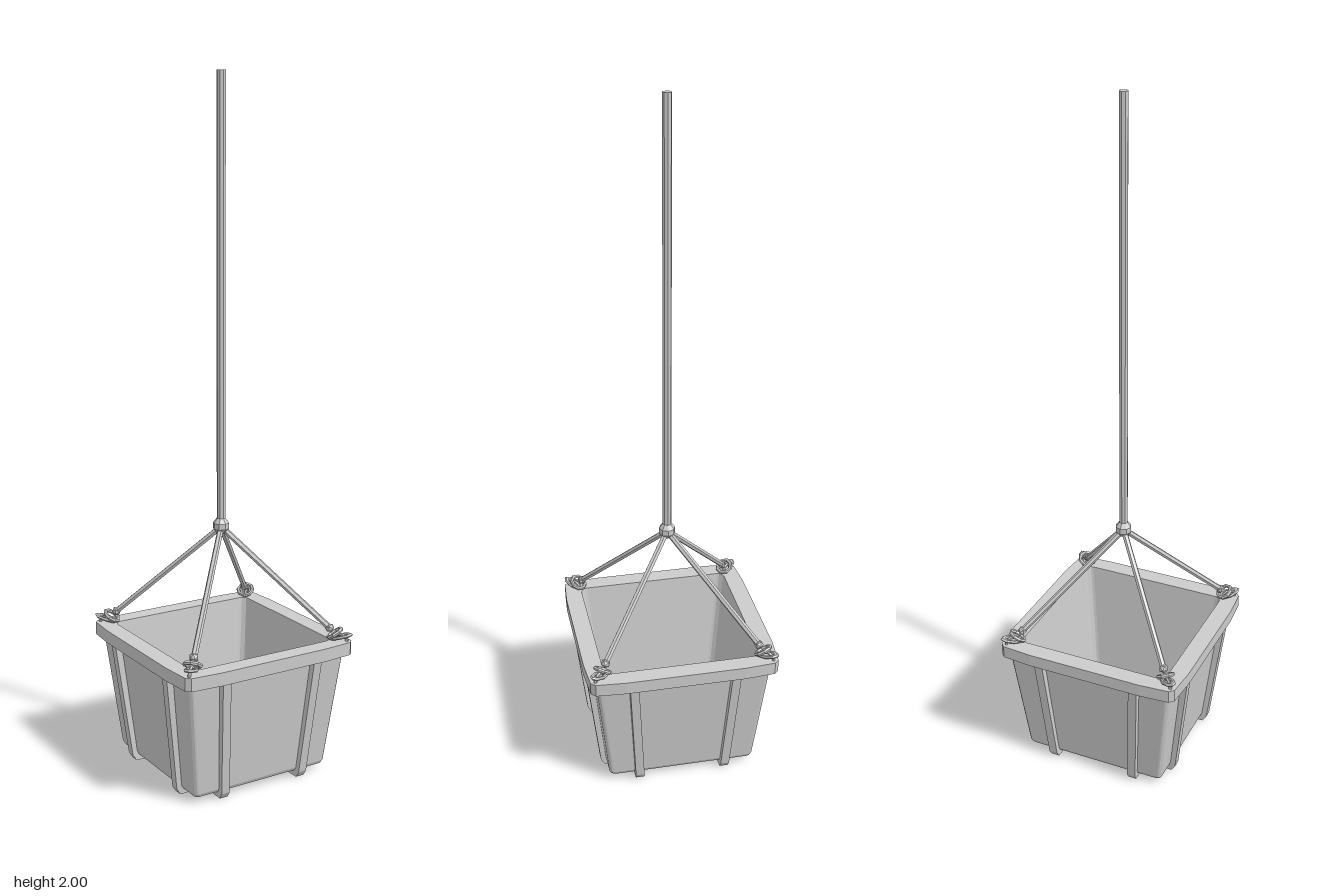
import * as THREE from 'three';

const material = new THREE.MeshStandardMaterial({ color: 0xcccccc, flatShading: true });

function part(parent, name, geometry) {
  const mesh = new THREE.Mesh(geometry, material);
  mesh.name = name;
  parent.add(mesh);
  return mesh;
}

// Square ring of 16 points: half width, side break, softened corner
function squareRing(half, y, side, corner, cut) {
  const quarter = [[half, side], [corner, corner - cut], [corner - cut, corner], [side, half]];
  const ring = [];
  for (let k = 0; k < 4; k++) {
    for (let [x, u] of quarter) {
      for (let i = 0; i < k; i++) [x, u] = [-u, x];
      ring.push(new THREE.Vector3(x, y, -u));
    }
  }
  return ring;
}

// Skin over successive rings
function loft(rings) {
  const pos = [];
  const tri = (...pts) => pts.forEach((p) => pos.push(p.x, p.y, p.z));
  for (let r = 0; r < rings.length - 1; r++) {
    const a = rings[r], b = rings[r + 1];
    for (let j = 0; j < a.length; j++) {
      const n = (j + 1) % a.length;
      tri(a[j], a[n], b[n]);
      tri(a[j], b[n], b[j]);
    }
  }
  const geometry = new THREE.BufferGeometry();
  geometry.setAttribute('position', new THREE.Float32BufferAttribute(pos, 3));
  geometry.computeVertexNormals();
  return geometry;
}

// U-shaped strap running under the box and up two opposite walls
function strapGeometry(sign) {
  const outer = [[0.279, 0.37], [0.236, 0.018], [0.224, 0]];
  const inner = [[0.2, 0.025], [0.245, 0.37]];
  const right = [...outer].reverse();
  const pts = [
    ...right, ...[...inner].reverse(),
    ...inner.map(([x, y]) => [-x, y]), ...outer.map(([x, y]) => [-x, y]),
  ];
  // order: bottom right, up outside, down inside, then the mirrored side
  const shape = new THREE.Shape(pts.map(([x, y]) => new THREE.Vector2(x, y)));
  const geometry = new THREE.ExtrudeGeometry(shape, { depth: 0.026, bevelEnabled: false });
  geometry.translate(0, 0, -0.013);
  const p = geometry.attributes.position;
  for (let i = 0; i < p.count; i++) {
    p.setZ(i, p.getZ(i) + sign * (0.13 + 0.06 * p.getY(i)));
  }
  geometry.computeVertexNormals();
  return geometry;
}

function rod(parent, name, from, to, radius, sides) {
  const mesh = part(parent, name, new THREE.CylinderGeometry(radius, radius, from.distanceTo(to), sides));
  mesh.position.copy(from).lerp(to, 0.5);
  mesh.quaternion.setFromUnitVectors(new THREE.Vector3(0, 1, 0), to.clone().sub(from).normalize());
  return mesh;
}

export function createModel() {
  const model = new THREE.Group();
  model.name = 'hangingBucket';

  // Tapered box with an overhanging rim and a hollow inside
  const plain = (half, y, cut) => squareRing(half, y, half - cut * 2, half - cut * 0.2, cut);
  const point = (y) => squareRing(0, y, 0, 0, 0);
  part(model, 'bucket', loft([
    point(0.018),
    plain(0.216, 0.018, 0.006),
    plain(0.221, 0.028, 0.006),
    plain(0.258, 0.362, 0.006),
    squareRing(0.285, 0.362, 0.175, 0.278, 0.013),
    squareRing(0.285, 0.4, 0.175, 0.278, 0.013),
    plain(0.232, 0.4, 0.01),
    plain(0.197, 0.05, 0.01),
    point(0.05),
  ]));

  // Two straps each way
  for (const turn of [0, Math.PI / 2]) {
    for (const sign of [-1, 1]) {
      part(model, 'strap', strapGeometry(sign)).rotation.y = turn;
    }
  }

  // Pole and the knob joining the four stays
  rod(model, 'pole', new THREE.Vector3(0, 0.71, 0), new THREE.Vector3(0, 2, 0), 0.013, 8);
  const knob = [[0, 0.698], [0.014, 0.7], [0.024, 0.713], [0.024, 0.73], [0.013, 0.744], [0, 0.744]];
  part(model, 'knob', new THREE.LatheGeometry(knob.map(([x, y]) => new THREE.Vector2(x, y)), 8));

  // Stays with shackles, one per corner; local x points out along the diagonal
  for (let k = 0; k < 4; k++) {
    const corner = new THREE.Group();
    corner.name = 'cornerStay';
    corner.rotation.y = Math.PI / 4 + k * Math.PI / 2;
    model.add(corner);

    const foot = new THREE.Vector3(0.322, 0.436, 0);
    rod(corner, 'stay', new THREE.Vector3(0, 0.718, 0), foot, 0.009, 6);
    part(corner, 'stayEnd', new THREE.IcosahedronGeometry(0.014, 0)).position.copy(foot);

    // Ring tilted across the stay
    const ring = part(corner, 'ring', new THREE.TorusGeometry(0.023, 0.006, 6, 8));
    ring.position.set(0.337, 0.421, 0);
    ring.rotation.set(Math.PI / 2, 0.6, 0);

    // Long link lying out toward the corner
    const link = part(corner, 'link', new THREE.TorusGeometry(0.015, 0.005, 6, 8));
    link.scale.set(1.9, 1, 1);
    link.position.set(0.353, 0.412, 0);
    link.rotation.set(Math.PI / 2, 0.25, 0);

    // Staple fixed in the rim
    const staple = part(corner, 'staple', new THREE.TorusGeometry(0.021, 0.005, 6, 8, Math.PI));
    staple.position.set(0.352, 0.398, 0);
  }

  return model;
}
